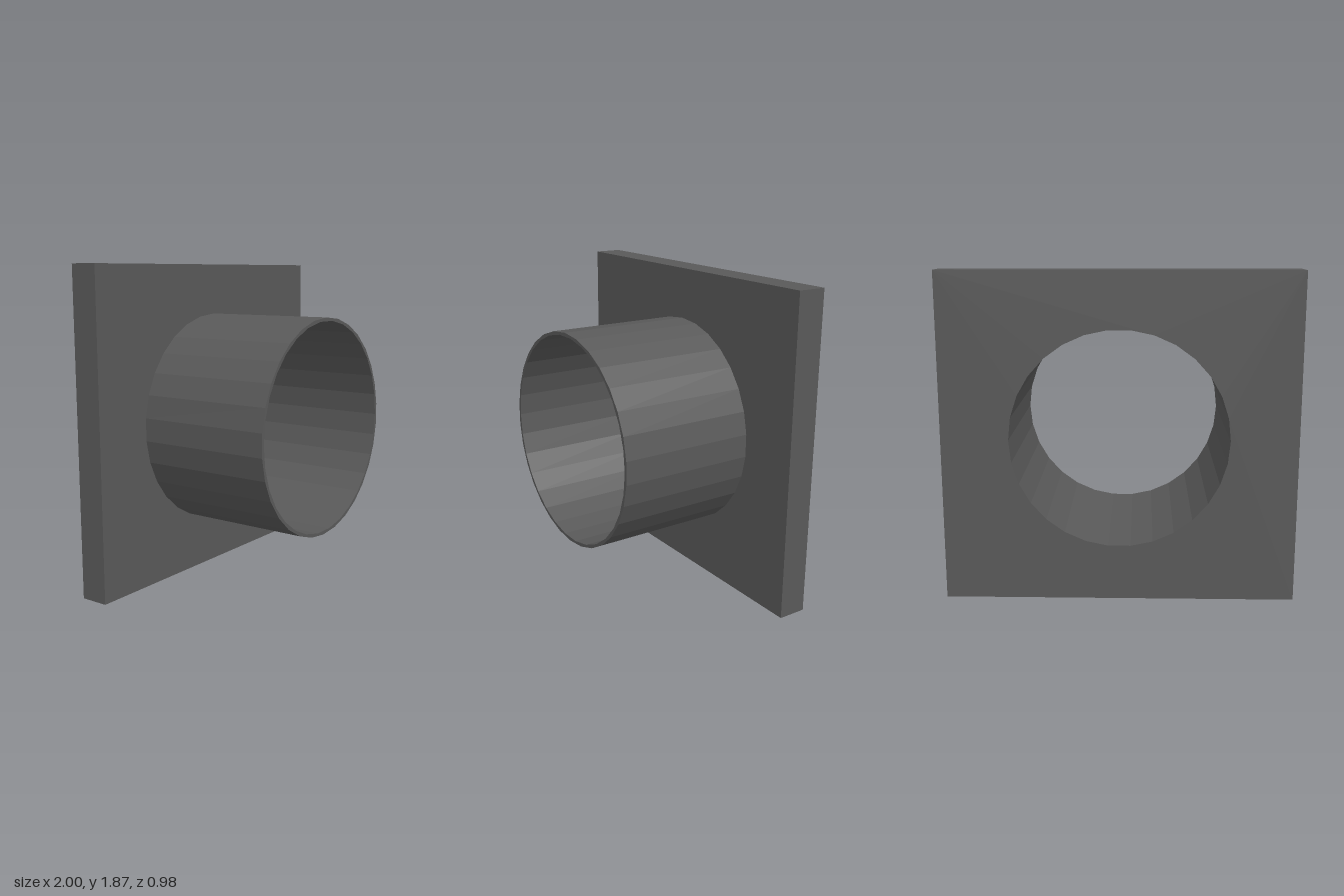
import * as THREE from 'three';

const SIDES = 30;
const HEIGHT = 1.874;
const CENTRE_Y = HEIGHT / 2;
const BACK = -0.49, PLATE_FRONT = -0.32, PIPE_FRONT = 0.49;

// Regular polygon points around the pipe axis
function ring(radius, turn = 0) {
  return Array.from({ length: SIDES }, (_, i) => {
    const a = turn + (i / SIDES) * Math.PI * 2;
    return new THREE.Vector2(Math.cos(a) * radius, CENTRE_Y + Math.sin(a) * radius);
  });
}

// Extrude an outline with the round bore cut through it
function boredPart(name, outline, z0, z1, material) {
  const shape = new THREE.Shape(outline);
  shape.holes.push(new THREE.Path(ring(0.619).reverse()));
  const geometry = new THREE.ExtrudeGeometry(shape, { depth: z1 - z0, bevelEnabled: false });
  geometry.translate(0, 0, z0);
  const mesh = new THREE.Mesh(geometry, material);
  mesh.name = name;
  return mesh;
}

export function createModel() {
  const group = new THREE.Group();
  group.name = 'flangedPipe';
  const darkGrey = new THREE.MeshStandardMaterial({ color: 0x595959 });
  darkGrey.name = 'dark grey';

  // Square mounting plate at the back
  const square = [[-1, 0], [1, 0], [1, HEIGHT], [-1, HEIGHT]].map(([x, y]) => new THREE.Vector2(x, y));
  group.add(boredPart('mountingPlate', square, BACK, PLATE_FRONT, darkGrey));

  // Thin-walled pipe, its outer facets half a step round from the bore's
  group.add(boredPart('pipe', ring(0.638, Math.PI / SIDES), PLATE_FRONT, PIPE_FRONT, darkGrey));

  return group;
}
